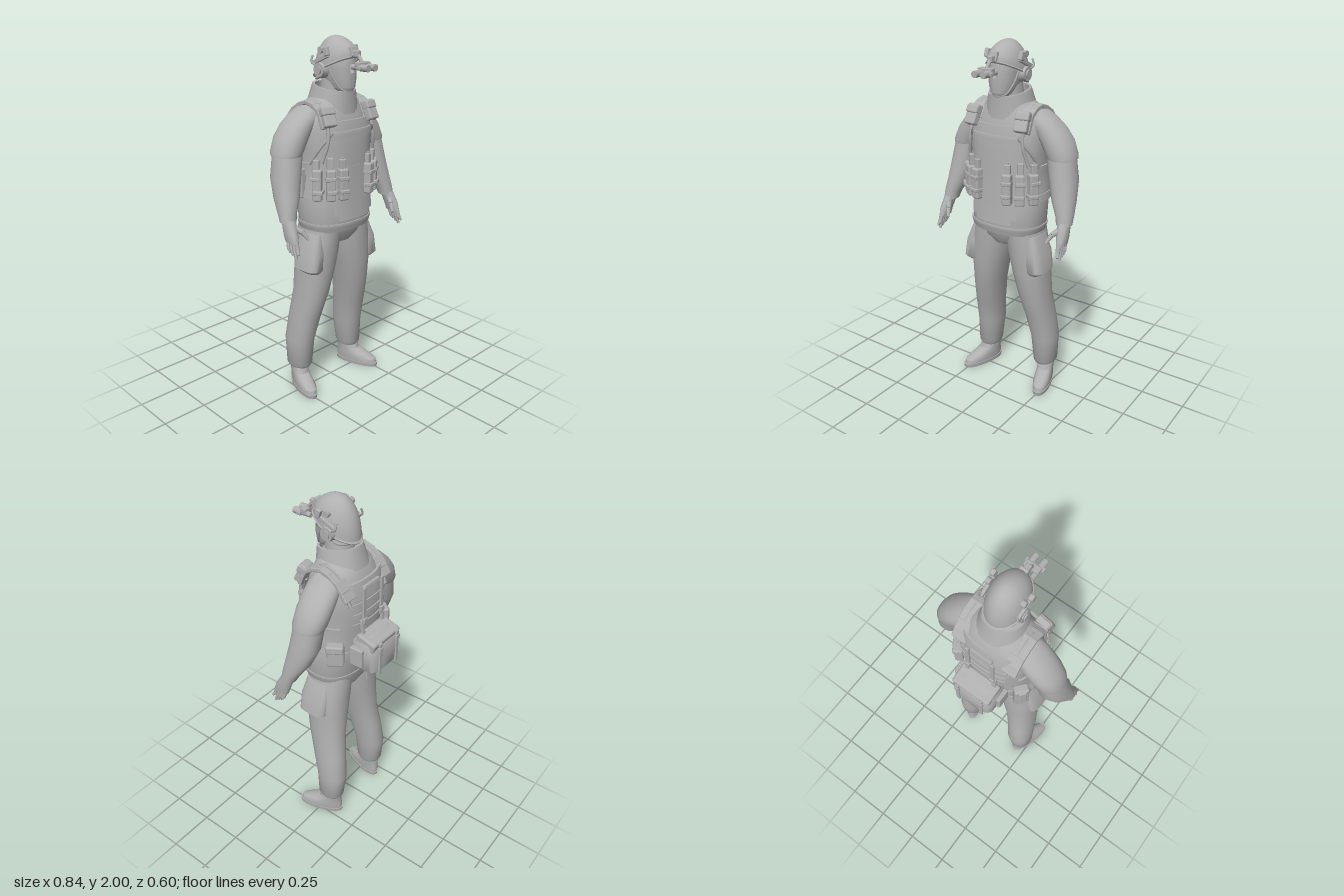
import * as THREE from 'three';
import { toCreasedNormals } from 'three/addons/utils/BufferGeometryUtils.js';
import { RoundedBoxGeometry } from 'three/addons/geometries/RoundedBoxGeometry.js';

const P = 2.4; // superellipse power of the body cross-sections
const V = (x, y, z) => new THREE.Vector3(x, y, z);

// Surface through horizontal rings [y, cx, cz, rx, rz], listed upwards
function loftGeometry(rings, { p = 2.2, from = 0, to = 1, seg = 28, cap = true } = {}) {
  const pos = [], idx = [], w = seg + 1;
  const pw = (v) => Math.sign(v) * Math.abs(v) ** (2 / p);
  for (const [y, cx, cz, rx, rz] of rings) {
    for (let j = 0; j <= seg; j++) {
      const t = (from + (to - from) * j / seg) * Math.PI * 2;
      pos.push(cx + rx * pw(Math.cos(t)), y, cz + rz * pw(Math.sin(t)));
    }
  }
  for (let i = 0; i < rings.length - 1; i++) for (let j = 0; j < seg; j++) {
    const a = i * w + j, b = a + 1, c = a + w, d = c + 1;
    idx.push(a, c, b, b, c, d);
  }
  if (cap) for (const i of [0, rings.length - 1]) {
    const n = pos.length / 3, [y, cx, cz] = rings[i];
    pos.push(cx, y, cz);
    for (let j = 0; j < seg; j++) {
      const a = i * w + j;
      if (i) idx.push(n, a + 1, a); else idx.push(n, a, a + 1);
    }
  }
  const g = new THREE.BufferGeometry();
  g.setAttribute('position', new THREE.Float32BufferAttribute(pos, 3));
  g.setIndex(idx);
  return toCreasedNormals(g, 0.8);
}

// Torso cross-sections
const TORSO = [
  [0.98, 0, 0.03, 0.2, 0.145], [1.02, 0, 0.03, 0.212, 0.155], [1.15, 0, 0.015, 0.212, 0.16],
  [1.3, 0, 0.005, 0.198, 0.163], [1.42, 0, 0, 0.203, 0.165], [1.52, 0, 0, 0.212, 0.16],
  [1.6, 0, 0, 0.195, 0.145], [1.66, 0, 0.005, 0.15, 0.12], [1.72, 0, 0.02, 0.085, 0.085]];

// Torso cross-section at any height, grown outwards
function bodyAt(y, grow = 0) {
  let i = 0;
  while (i < TORSO.length - 2 && TORSO[i + 1][0] < y) i++;
  const a = TORSO[i], b = TORSO[i + 1], k = (y - a[0]) / (b[0] - a[0]);
  const r = a.map((v, n) => v + (b[n] - v) * k);
  return [y, 0, r[2], r[3] + grow, r[4] + grow];
}

export function createModel() {
  const root = new THREE.Group();
  root.name = 'soldier';
  const grey = new THREE.MeshStandardMaterial({ color: 0xb0b0b0, side: THREE.DoubleSide });
  grey.name = 'plain grey';

  const add = (name, geo) => {
    const m = new THREE.Mesh(geo, grey);
    m.name = name;
    root.add(m);
    return m;
  };
  const loft = (name, rings, opt) => add(name, loftGeometry(rings, opt));
  const box = (name, w, h, d, x, y, z, ry = 0, rx = 0, rz = 0) => {
    const m = add(name, new RoundedBoxGeometry(w, h, d, 2, Math.min(w, h, d) * 0.22));
    m.position.set(x, y, z);
    m.rotation.set(rx, ry, rz, 'YXZ');
    return m;
  };
  const rod = (name, a, b, r0, r1 = r0, seg = 12) => {
    const m = add(name, new THREE.CylinderGeometry(r1, r0, a.distanceTo(b), seg));
    m.position.copy(a).lerp(b, 0.5);
    m.quaternion.setFromUnitVectors(V(0, 1, 0), b.clone().sub(a).normalize());
    return m;
  };
  const tube = (name, pts, r) =>
    add(name, new THREE.TubeGeometry(new THREE.CatmullRomCurve3(pts), 16, r, 6));
  // Curved panel that follows the torso
  const panel = (name, y0, y1, grow, from = 0, to = 1) => {
    const rings = [bodyAt(y0, grow - 0.012)];
    for (let i = 0; i <= 6; i++) rings.push(bodyAt(y0 + (y1 - y0) * i / 6, grow));
    rings.push(bodyAt(y1, grow - 0.012));
    return loft(name, rings, { p: P, from, to, cap: false });
  };
  // Box resting on the torso surface, front (f = 1) or back (f = -1)
  const onBody = (name, w, h, d, x, y, f, out = 0) => {
    const [, , cz, rx, rz] = bodyAt(y), u = Math.min(Math.abs(x) / rx, 0.97);
    const v = (1 - u ** P) ** (1 / P);
    const n = V(Math.sign(x) * u ** (P - 1) / rx, 0, f * v ** (P - 1) / rz).normalize();
    const o = out + d / 2;
    return box(name, w, h, d, Math.sign(x) * u * rx + n.x * o, y, cz + f * v * rz + n.z * o, Math.atan2(n.x, n.z));
  };

  // Torso, hips and vest
  loft('torso', TORSO, { p: P });
  loft('hips', [[0.9, 0, 0.02, 0.08, 0.1], [0.95, 0, 0.02, 0.17, 0.13], [1.03, 0, 0.025, 0.195, 0.14]]);
  panel('shirtHem', 0.99, 1.03, 0.006);
  panel('cummerbund', 1.2, 1.36, 0.01);
  panel('chestPlate', 1.34, 1.58, 0.018, 0.1, 0.4);
  panel('chestRail', 1.49, 1.53, 0.026, 0.15, 0.35);
  panel('bellyFlap', 1.08, 1.34, 0.02, 0.155, 0.345);
  panel('bellyFlapTip', 1.05, 1.09, 0.017, 0.18, 0.32);
  panel('backPlate', 1.3, 1.61, 0.016, 0.6, 0.9);
  panel('belt', 1.17, 1.21, 0.016);
  for (const y of [1.36, 1.42, 1.48]) panel('backWebbing', y, y + 0.025, 0.022, 0.66, 0.84);
  box('dragHandle', 0.13, 0.025, 0.02, 0, 1.575, -0.17, 0, 0.2);

  // Neck, collar and head
  loft('neck', [[1.64, 0, 0.02, 0.08, 0.08], [1.8, 0, 0.035, 0.065, 0.07]]);
  const collar = loft('collar', [[1.63, 0, 0.01, 0.135, 0.135], [1.67, 0, 0.015, 0.126, 0.128],
    [1.745, 0, 0.025, 0.105, 0.118], [1.745, 0, 0.025, 0.092, 0.105], [1.67, 0, 0.02, 0.105, 0.11]], { cap: false });
  const cp = collar.geometry.attributes.position;
  for (let i = 0; i < cp.count; i++) cp.setY(i, cp.getY(i) - cp.getZ(i) * 0.16);
  loft('head', [[1.715, 0, 0.1, 0.03, 0.04], [1.735, 0, 0.085, 0.052, 0.068], [1.78, 0, 0.06, 0.068, 0.094],
    [1.84, 0, 0.045, 0.077, 0.108], [1.9, 0, 0.04, 0.08, 0.11], [1.95, 0, 0.04, 0.06, 0.08]]);
  loft('faceMask', [[1.74, 0, 0.085, 0.057, 0.073], [1.78, 0, 0.062, 0.073, 0.099],
    [1.825, 0, 0.05, 0.079, 0.11]], { from: 0, to: 0.5, cap: false });
  rod('nose', V(0, 1.815, 0.158), V(0, 1.86, 0.148), 0.015, 0.007);

  // Helmet: dome whose rim sits high in front and low behind
  const dome = new THREE.SphereGeometry(1, 36, 14, 0, Math.PI * 2, 0, Math.PI / 2);
  const dp = dome.attributes.position;
  for (let i = 0; i < dp.count; i++) {
    const z = dp.getZ(i) * 0.13, rim = 1.84 + 0.45 * z;
    dp.setXYZ(i, dp.getX(i) * 0.1, rim + (2 - rim) * dp.getY(i), 0.04 + z);
  }
  dome.computeVertexNormals();
  add('helmet', dome);
  const rim = new THREE.TorusGeometry(1, 0.05, 6, 36);
  const rp = rim.attributes.position;
  for (let i = 0; i < rp.count; i++) {
    const z = rp.getY(i) * 0.13;
    rp.setXYZ(i, rp.getX(i) * 0.1, 1.84 + 0.45 * z + rp.getZ(i) * 0.12, 0.04 + z);
  }
  rim.computeVertexNormals();
  add('helmetRim', rim);

  // Night vision goggles on a folding mount
  box('goggleShroud', 0.045, 0.05, 0.02, 0, 1.925, 0.165, 0, -0.35);
  box('goggleMount', 0.03, 0.035, 0.035, 0, 1.915, 0.188);
  rod('goggleArm', V(0, 1.92, 0.19), V(0, 1.875, 0.225), 0.01);
  box('goggleBridge', 0.085, 0.022, 0.035, 0, 1.868, 0.228);

  for (const s of [-1, 1]) {
    rod('goggleTube', V(s * 0.026, 1.852, 0.185), V(s * 0.026, 1.852, 0.25), 0.014);
    rod('goggleLens', V(s * 0.026, 1.852, 0.245), V(s * 0.026, 1.852, 0.295), 0.018);
    box('goggleKnob', 0.016, 0.018, 0.025, s * 0.046, 1.852, 0.25);

    // Headset, helmet rails and chin straps
    rod('earCup', V(s * 0.075, 1.83, 0.025), V(s * 0.113, 1.83, 0.025), 0.044, 0.036, 16);
    rod('earCupCap', V(s * 0.11, 1.83, 0.025), V(s * 0.12, 1.83, 0.025), 0.022);
    box('helmetRail', 0.016, 0.022, 0.12, s * 0.1, 1.885, 0.03, 0, -0.4);
    box('railClip', 0.025, 0.045, 0.03, s * 0.105, 1.925, 0.075, 0, -0.3);
    rod('helmetKnob', V(s * 0.085, 1.93, 0.03), V(s * 0.108, 1.93, 0.03), 0.017);
    tube('headsetArm', [V(s * 0.105, 1.85, 0.0), V(s * 0.11, 1.87, -0.03), V(s * 0.1, 1.9, -0.03)], 0.006);
    tube('chinStrap', [V(s * 0.09, 1.86, 0.07), V(s * 0.076, 1.79, 0.1), V(s * 0.045, 1.735, 0.125), V(0, 1.722, 0.145)], 0.006);
    tube('napeStrap', [V(s * 0.085, 1.8, 0.02), V(s * 0.075, 1.78, -0.03), V(0, 1.775, -0.075)], 0.007);

    // Arms, sleeves and hands
    loft('arm', [[1.085, s * 0.377, 0.075, 0.042, 0.042], [1.13, s * 0.37, 0.06, 0.047, 0.052],
      [1.2, s * 0.347, 0.03, 0.062, 0.072], [1.3, s * 0.325, 0, 0.074, 0.084], [1.46, s * 0.292, -0.015, 0.075, 0.08]]);
    loft('sleeve', [[1.41, s * 0.307, -0.012, 0.076, 0.084], [1.43, s * 0.3, -0.015, 0.081, 0.09],
      [1.5, s * 0.265, -0.02, 0.088, 0.094], [1.56, s * 0.22, -0.02, 0.088, 0.092],
      [1.61, s * 0.17, -0.015, 0.085, 0.085], [1.655, s * 0.13, -0.01, 0.06, 0.06]]);
    loft('palm', [[0.99, s * 0.392, 0.12, 0.022, 0.045], [1.03, s * 0.39, 0.108, 0.028, 0.046], [1.1, s * 0.378, 0.078, 0.034, 0.038]]);
    for (let i = 0; i < 4; i++) {
      const z = 0.09 + i * 0.02, knuckle = V(s * (0.4 - i * 0.002), 0.955, z + 0.015);
      rod('finger', V(s * 0.392, 1.005, z), knuckle, 0.013, 0.012, 8);
      rod('fingertip', knuckle, V(s * 0.402, 0.935 - (i % 3) * 0.012, z + 0.03), 0.012, 0.007, 8);
    }
    rod('thumb', V(s * 0.375, 1.065, 0.105), V(s * 0.345, 1.04, 0.145), 0.018, 0.014, 8);
    rod('thumbTip', V(s * 0.345, 1.04, 0.145), V(s * 0.327, 1.0, 0.175), 0.014, 0.007, 8);

    // Legs, cargo pockets and boots
    loft('trouserLeg', [[0.125, s * 0.198, -0.055, 0.055, 0.065], [0.145, s * 0.2, -0.055, 0.065, 0.077],
      [0.3, s * 0.193, -0.058, 0.075, 0.09], [0.45, s * 0.178, -0.03, 0.079, 0.1], [0.6, s * 0.156, 0, 0.086, 0.11],
      [0.75, s * 0.137, 0.012, 0.102, 0.12], [0.86, s * 0.122, 0.015, 0.112, 0.124], [0.95, s * 0.108, 0.018, 0.104, 0.128],
      [1.02, s * 0.1, 0.02, 0.1, 0.128]]);
    loft('cargoPocket', [[0.75, s * 0.2, 0.045, 0.04, 0.07], [0.77, s * 0.213, 0.045, 0.052, 0.088],
      [0.87, s * 0.2, 0.04, 0.05, 0.09], [0.97, s * 0.18, 0.035, 0.03, 0.075]], { p: 3 });
    const boot = [
      loft('boot', [[0.015, 0, 0.07, 0.046, 0.132], [0.045, 0, 0.065, 0.05, 0.13], [0.07, 0, 0.04, 0.047, 0.1],
        [0.095, 0, 0.01, 0.046, 0.068], [0.16, 0, 0, 0.05, 0.056]]),
      loft('bootSole', [[0, 0, 0.07, 0.048, 0.136], [0.022, 0, 0.07, 0.051, 0.14]])];
    for (const b of boot) {
      b.position.set(s * 0.202, 0, -0.06);
      b.rotation.y = s * 0.3;
    }

    // Magazine pouches around the belly
    [0.088, 0.14, 0.18].forEach((x, i) => {
      onBody('magazinePouch', 0.05, 0.17, 0.045, s * x, 1.255, 1, 0.012);
      onBody('pouchBand', 0.054, 0.02, 0.053, s * x, 1.22, 1, 0.012);
      onBody('pouchBand', 0.054, 0.02, 0.053, s * x, 1.29, 1, 0.012);
      onBody('magazine', 0.034, 0.09, 0.024, s * x, 1.345 + 0.01 * (i % 2), 1, 0.02);
      onBody('pullTab', 0.012, 0.03, 0.008, s * x, 1.385, 1, 0.03);
    });

    // Shoulder straps and pouches
    tube('strapEdge', [V(s * 0.19, 1.37, 0.13), V(s * 0.165, 1.5, 0.155), V(s * 0.16, 1.62, 0.115),
      V(s * 0.155, 1.675, 0.01), V(s * 0.155, 1.62, -0.1), V(s * 0.15, 1.5, -0.155)], 0.01);
    const pad = new THREE.CatmullRomCurve3([V(s * 0.155, 1.56, 0.135), V(s * 0.152, 1.635, 0.095),
      V(s * 0.15, 1.67, 0.01), V(s * 0.15, 1.625, -0.09), V(s * 0.15, 1.55, -0.15)]);
    for (let i = 0; i < 8; i++) {
      const p = pad.getPoint((i + 0.5) / 8), t = pad.getTangent((i + 0.5) / 8);
      box('shoulderPad', 0.085, 0.022, 0.068, p.x, p.y, p.z, 0, Math.atan2(t.y, -t.z));
    }
    box('shoulderPouch', 0.075, 0.11, 0.04, s * 0.155, 1.61, 0.14, s * 0.15, -0.45);
    box('shoulderPouchFlap', 0.08, 0.045, 0.046, s * 0.155, 1.635, 0.132, s * 0.15, -0.45);
    tube('sideStrap', [V(s * 0.21, 1.36, 0.06), V(s * 0.19, 1.45, 0.12), V(s * 0.145, 1.53, 0.165)], 0.008);

    // Back straps
    box('backStrap', 0.022, 0.22, 0.012, s * 0.075, 1.48, -0.185);
    box('backBuckle', 0.03, 0.03, 0.018, s * 0.075, 1.4, -0.19);
    box('packStrap', 0.022, 0.14, 0.014, s * 0.085, 1.335, -0.188, 0, 0.15);
    box('packWebbing', 0.022, 0.2, 0.012, s * 0.075, 1.2, -0.293);
    box('packBuckle', 0.03, 0.03, 0.018, s * 0.075, 1.26, -0.294);
    box('looseStrap', 0.014, 0.11, 0.008, s * 0.06, 1.07, -0.2, 0, 0.1);
  }

  // Waist pack on the back
  loft('waistPack', [[1.1, 0, -0.2, 0.1, 0.07], [1.12, 0, -0.21, 0.122, 0.082], [1.21, 0, -0.21, 0.13, 0.085],
    [1.28, 0, -0.2, 0.122, 0.08], [1.315, 0, -0.185, 0.1, 0.055]], { p: 4 });
  box('packLid', 0.235, 0.06, 0.12, 0, 1.285, -0.222, 0, -0.3);
  for (const s of [-1, 1]) box('packSidePocket', 0.03, 0.11, 0.08, s * 0.132, 1.2, -0.185);

  // Radio pouch on one hip, utility pouch on the other
  onBody('radioPouch', 0.08, 0.19, 0.05, -0.175, 1.22, -1, 0.012);
  onBody('radioPouchFlap', 0.05, 0.13, 0.058, -0.175, 1.24, -1, 0.012);
  onBody('utilityPouch', 0.09, 0.12, 0.05, 0.18, 1.22, -1, 0.012);
  onBody('utilityPouchFlap', 0.094, 0.045, 0.058, 0.18, 1.265, -1, 0.012);
  box('sidePouch', 0.03, 0.16, 0.07, -0.222, 1.25, -0.01);
  return root;
}
